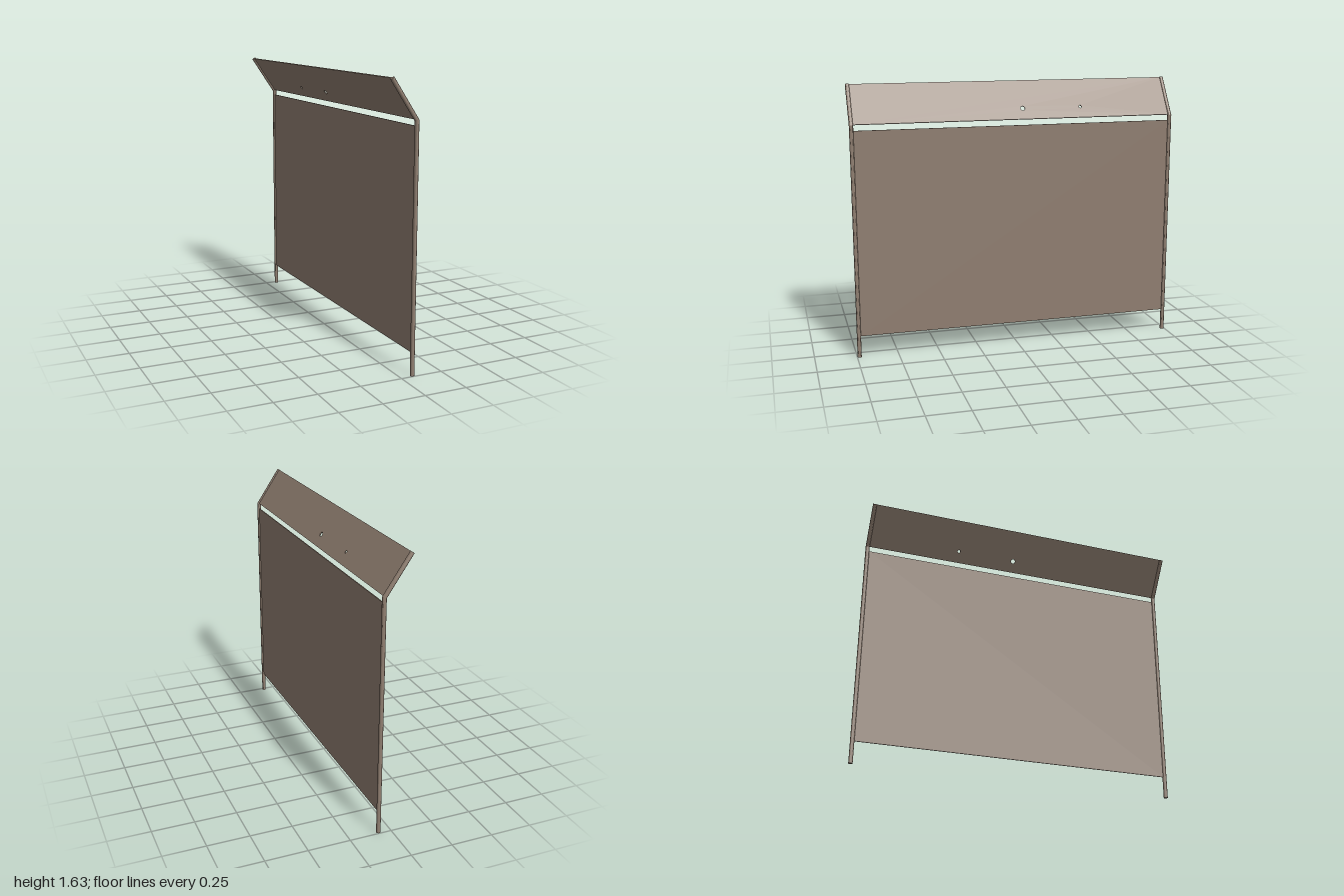
import * as THREE from 'three';
import { toCreasedNormals } from 'three/addons/utils/BufferGeometryUtils.js';

const POST_X = 0.073, BEND_Y = 1.402, TIP_X = -0.077, TIP_Y = 1.625;
const POST_R = 0.0125, POST_Z = 0.986, HALF_WIDTH = 0.975, THICK = 0.006;
const lean = Math.atan2(POST_X - TIP_X, TIP_Y - BEND_Y);

// Round post with a mitred bend near the top
function postGeometry() {
  const geo = new THREE.CylinderGeometry(POST_R, POST_R, 2, 12, 2);
  const p = geo.attributes.position;
  for (let i = 0; i < p.count; i++) {
    const x = p.getX(i), level = Math.round(p.getY(i));
    if (level < 0) p.setXYZ(i, POST_X + x, 0, p.getZ(i));
    else if (level === 0) p.setXYZ(i, POST_X + x, BEND_Y + x * Math.tan(lean / 2), p.getZ(i));
    else p.setXYZ(i, TIP_X + x * Math.cos(lean), TIP_Y + x * Math.sin(lean), p.getZ(i));
  }
  return toCreasedNormals(geo, 0.55);
}

// Thin sheet: width along z, height along y, with optional round holes [z, y, radius]
function sheetGeometry(height, holes = []) {
  const w = HALF_WIDTH;
  const shape = new THREE.Shape([
    new THREE.Vector2(-w, 0), new THREE.Vector2(w, 0),
    new THREE.Vector2(w, height), new THREE.Vector2(-w, height),
  ]);
  for (const [z, y, r] of holes) {
    shape.holes.push(new THREE.Path().absarc(-z, y, r, 0, Math.PI * 2, true));
  }
  const geo = new THREE.ExtrudeGeometry(shape, { depth: THICK, bevelEnabled: false, curveSegments: 8 });
  return geo.translate(0, 0, -THICK / 2).rotateY(Math.PI / 2);
}

export function createModel() {
  const model = new THREE.Group();
  model.name = 'fencePanel';
  const brown = new THREE.MeshStandardMaterial({ color: 0x8f7e70 });
  brown.name = 'weatheredBrown';

  const add = (name, geo) => {
    const mesh = new THREE.Mesh(geo, brown);
    mesh.name = name;
    model.add(mesh);
    return mesh;
  };

  // Pair of posts
  const post = postGeometry();
  add('frontPost', post).position.z = POST_Z;
  add('backPost', post).position.z = -POST_Z;

  // Upright sheet
  add('mainPanel', sheetGeometry(1.24)).position.set(POST_X, 0.132, 0);

  // Leaning top sheet with two small holes
  const length = Math.hypot(POST_X - TIP_X, TIP_Y - BEND_Y);
  const top = add('leaningPanel', sheetGeometry(length - 0.004, [[-0.045, 0.073, 0.014], [-0.41, 0.073, 0.009]]));
  top.position.set(POST_X, BEND_Y + 0.004, 0);
  top.rotation.z = lean;

  return model;
}
